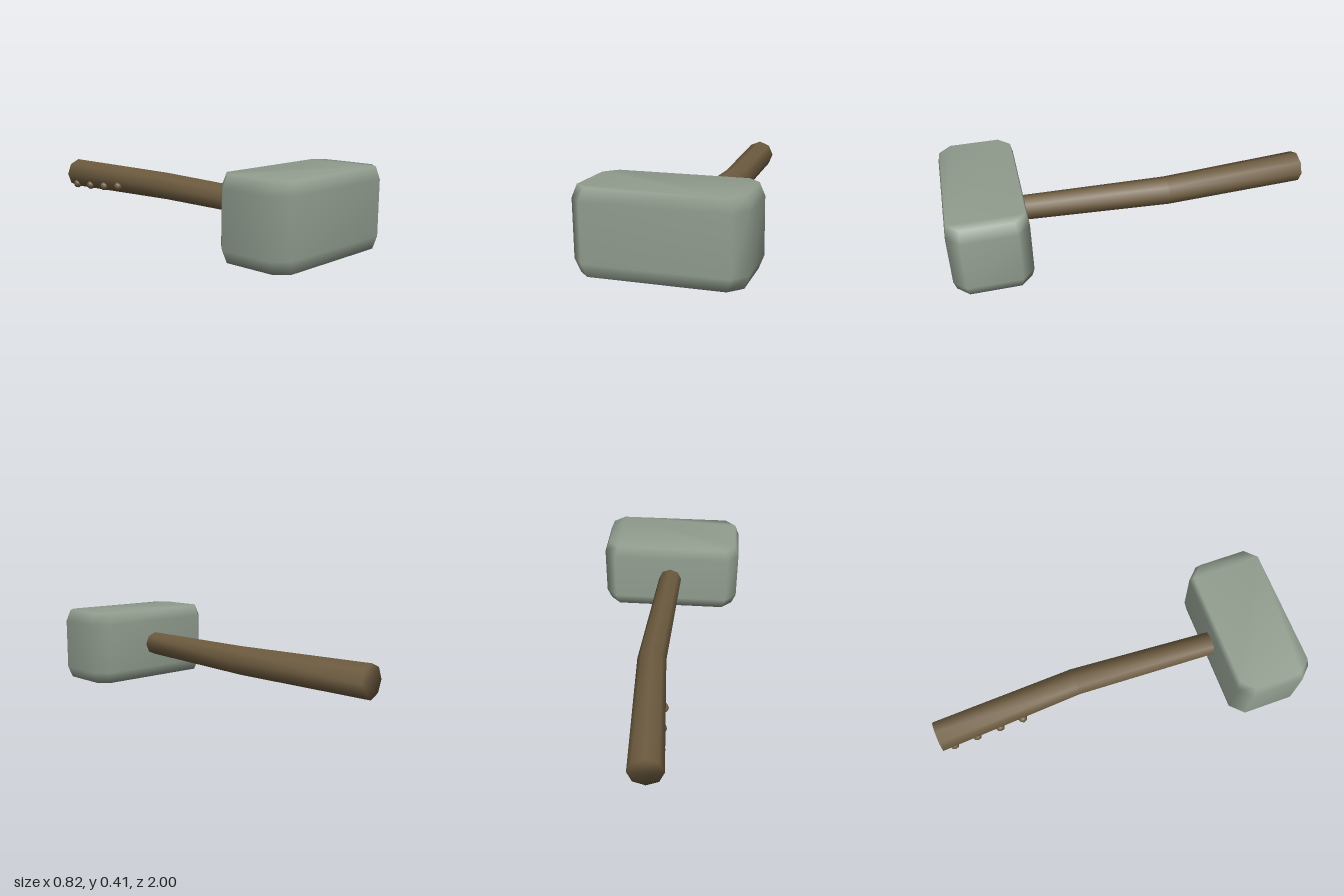
import * as THREE from 'three';

const stone = new THREE.MeshStandardMaterial({ color: 0x929e90 });
stone.name = 'greyGreenStone';
const wood = new THREE.MeshStandardMaterial({ color: 0x6e5c40 });
wood.name = 'brownWood';

// Joins equal rings of [x, y, z] into a closed smooth solid (rings run counterclockwise about the axis)
function loft(rings) {
  const n = rings[0].length;
  const index = [];
  for (let r = 0; r < rings.length - 1; r++) {
    for (let i = 0; i < n; i++) {
      const a = r * n + i, b = r * n + (i + 1) % n;
      index.push(a, b, b + n, a, b + n, a + n);
    }
  }
  const last = (rings.length - 1) * n;
  for (let i = 1; i < n - 1; i++) {
    index.push(0, i + 1, i, last, last + i, last + i + 1);
  }
  const geometry = new THREE.BufferGeometry();
  geometry.setAttribute('position', new THREE.Float32BufferAttribute(rings.flat(2), 3));
  geometry.setIndex(index);
  geometry.computeVertexNormals();
  return geometry;
}

function part(name, geometry, material) {
  const mesh = new THREE.Mesh(geometry, material);
  mesh.name = name;
  return mesh;
}

const CENTRE_Y = 0.205;

// Block with cut corners, slightly narrowed at the top and bottom
function hammerHead() {
  const outline = [
    [0.345, 0.205], [0.41, 0.14], [0.41, -0.14], [0.345, -0.205],
    [-0.345, -0.205], [-0.41, -0.14], [-0.41, 0.14], [-0.345, 0.205],
  ];
  const layers = [[0, 0.94], [0.063, 1], [0.347, 1], [0.41, 0.94]];
  const rings = layers.map(([y, s]) => outline.map(([x, z]) => [x * s, y, 0.795 + z * s]));
  return part('hammerHead', loft(rings), stone);
}

// Bent eight-sided shaft, thicker towards the grip; each station is z, x, radius, end tilt
function handle() {
  const stations = [
    [-0.995, -0.003, 0.087, -0.058],
    [-0.2, 0.043, 0.078, 0],
    [0.7, -0.002, 0.066, 0.05],
  ];
  const rings = stations.map(([z, x, r, tilt]) =>
    Array.from({ length: 8 }, (_, i) => {
      const t = (i / 8) * Math.PI * 2;
      const dx = Math.cos(t) * r;
      return [x + dx, CENTRE_Y + Math.sin(t) * r, z + dx * tilt];
    }));
  return part('handle', loft(rings), wood);
}

// Row of small knobs along the lower right side of the grip
function gripKnobs() {
  const knobs = new THREE.Group();
  knobs.name = 'gripKnobs';
  const geometry = new THREE.SphereGeometry(0.026, 8, 6);
  [[-0.535, 24], [-0.667, 35], [-0.8, 41], [-0.93, 45]].forEach(([z, degrees], i) => {
    const along = (-0.2 - z) / 0.8;
    const r = 0.078 + 0.009 * along;
    const t = THREE.MathUtils.degToRad(degrees);
    const knob = part('gripKnob' + (i + 1), geometry, wood);
    knob.position.set(0.043 - 0.046 * along - Math.cos(t) * r * 0.96, CENTRE_Y - Math.sin(t) * r * 0.96, z);
    knobs.add(knob);
  });
  return knobs;
}

export function createModel() {
  const hammer = new THREE.Group();
  hammer.name = 'hammer';
  hammer.add(hammerHead(), handle(), gripKnobs());
  return hammer;
}
